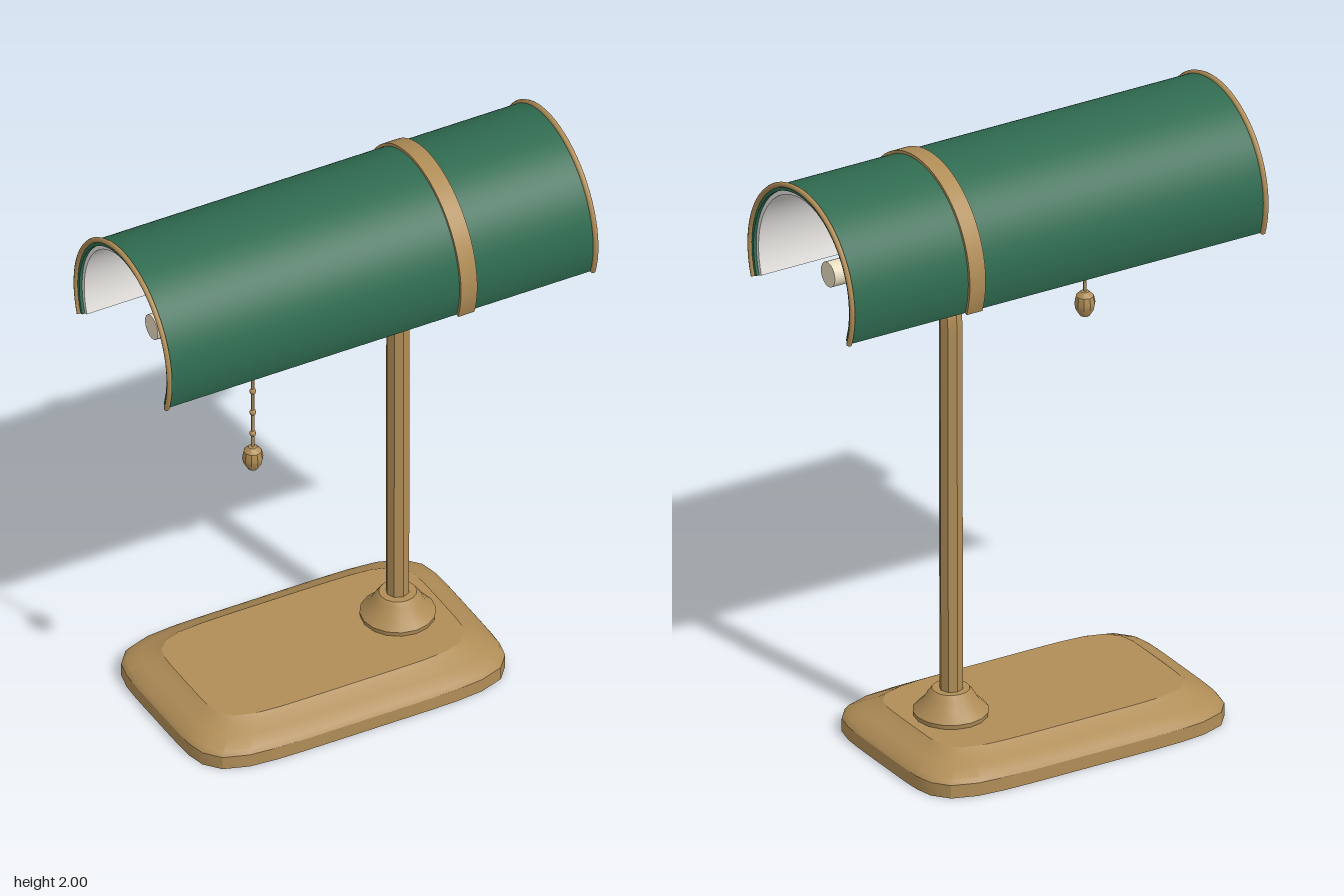
import * as THREE from 'three';
import { toCreasedNormals } from 'three/addons/utils/BufferGeometryUtils.js';

const V2 = (x, y) => new THREE.Vector2(x, y);
const V3 = (x, y, z) => new THREE.Vector3(x, y, z);
const mat = (color, extra = {}) => Object.assign(new THREE.MeshStandardMaterial({ color }), extra);

export function createModel() {
  const lamp = new THREE.Group();
  lamp.name = 'deskLamp';
  const brass = mat(0xb08d57, { side: THREE.DoubleSide });
  const green = mat(0x2f6b50);
  const white = mat(0xe6e3e0);
  const cream = mat(0xe8dcc0);

  const add = (name, geometry, material, x = 0, y = 0, z = 0, parent = lamp) => {
    const mesh = new THREE.Mesh(geometry, material);
    mesh.name = name;
    mesh.position.set(x, y, z);
    parent.add(mesh);
    return mesh;
  };
  const lathe = (points, sides) =>
    new THREE.LatheGeometry(points.map(([r, y]) => V2(r, y)), sides);

  // Base: a lathe whose rings are warped to rounded rectangles; radius 1 - d means inset by d
  const base = lathe([[0, 0], [1, 0], [1, 0.045], [0.99, 0.06], [0.95, 0.083],
    [0.915, 0.1], [0.895, 0.115], [0, 0.115]], 48);
  const p = base.attributes.position;
  for (let i = 0; i < p.count; i++) {
    const r = Math.hypot(p.getX(i), p.getZ(i));
    if (r < 1e-6) continue;
    const c = p.getX(i) / r, s = p.getZ(i) / r, d = 1 - r;
    const k = 1 / Math.pow(c ** 6 + s ** 6, 1 / 6);
    p.setX(i, (0.557 - d) * c * k);
    p.setZ(i, (0.358 - d) * s * k);
  }
  add('base', toCreasedNormals(base, 0.5), brass, 0, 0, -0.053);

  // Collar where the post meets the base
  add('collar', toCreasedNormals(lathe([[0.118, 0.11], [0.121, 0.13], [0.088, 0.162],
    [0.072, 0.19], [0.06, 0.205], [0, 0.205]], 16), 0.45), brass, 0.302, 0, -0.053);

  // Post bending forward into a short arm
  const path = new THREE.CurvePath();
  const stops = [V3(0.302, 0.18, -0.055), V3(0.302, 1.48, -0.052), V3(0.302, 1.53, -0.045),
    V3(0.302, 1.545, -0.015), V3(0.302, 1.565, 0.055)];
  for (let i = 1; i < stops.length; i++) path.add(new THREE.LineCurve3(stops[i - 1], stops[i]));
  add('post', toCreasedNormals(new THREE.TubeGeometry(path, 60, 0.038, 8), 0.5), brass);
  const cap = add('armCap', new THREE.CircleGeometry(0.038, 8), brass, 0.302, 1.565, 0.055);
  cap.rotation.x = -Math.atan2(0.02, 0.07);

  // Shade: arc-shaped shells running along x
  const shade = new THREE.Group();
  shade.name = 'shade';
  shade.position.set(0, 1.685, 0.097);
  lamp.add(shade);
  const drop = 0.36;
  const arcBand = (outer, inner, x0, x1, segments) => {
    const shape = new THREE.Shape();
    shape.absarc(0, 0, outer, -drop, Math.PI + drop, false);
    shape.absarc(0, 0, inner, Math.PI + drop, -drop, true);
    const g = new THREE.ExtrudeGeometry(shape,
      { depth: x1 - x0, bevelEnabled: false, curveSegments: segments });
    g.rotateY(Math.PI / 2).translate(x0, 0, 0);
    return toCreasedNormals(g, 0.6);
  };
  add('shadeShell', arcBand(0.305, 0.286, -0.76, 0.76, 40), green, 0, 0, 0, shade);
  add('shadeLiner', arcBand(0.286, 0.272, -0.75, 0.75, 20), white, 0, 0, 0, shade);
  add('shadeBand', arcBand(0.315, 0.303, 0.275, 0.333, 40), brass, 0, 0, 0, shade);

  // Rolled rims at both ends
  for (const side of [-1, 1]) {
    const rim = new THREE.TorusGeometry(0.306, 0.009, 8, 40, Math.PI + 2 * drop);
    rim.rotateZ(-drop).rotateY(Math.PI / 2);
    add(side > 0 ? 'leftRim' : 'rightRim', rim, brass, side * 0.76, 0, 0, shade);
  }

  // Tube bulb
  const bulb = new THREE.CylinderGeometry(0.042, 0.042, 1.32, 20).rotateZ(Math.PI / 2);
  add('tubeBulb', bulb, cream, 0, 1.675, 0.1);

  // Pull chain with beads and a knob
  const chain = new THREE.Group();
  chain.name = 'pullChain';
  chain.position.set(-0.41, 0, 0.305);
  lamp.add(chain);
  add('cord', new THREE.CylinderGeometry(0.005, 0.005, 0.45, 6), brass, 0, 1.465, 0, chain);
  for (let i = 0; i < 5; i++)
    add('bead', new THREE.SphereGeometry(0.011, 8, 6), brass, 0, 1.635 - i * 0.082, 0, chain);
  add('knob', toCreasedNormals(lathe([[0, 1.17], [0.016, 1.172], [0.03, 1.195], [0.034, 1.215],
    [0.029, 1.24], [0.014, 1.255], [0, 1.257]], 10), 0.5), brass, 0, 0, 0, chain);

  return lamp;
}
